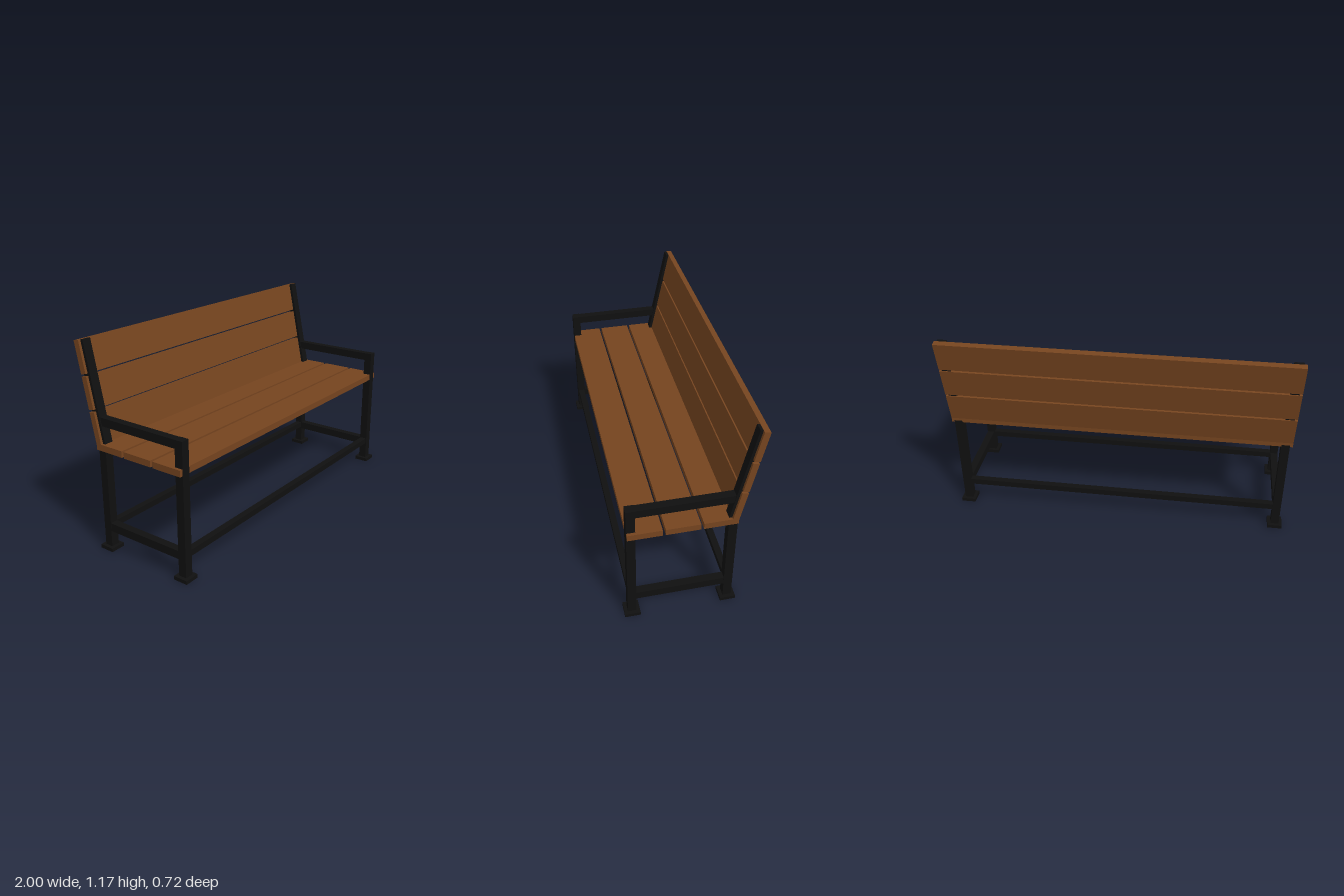
import * as THREE from 'three';

export function createModel() {
  const bench = new THREE.Group();
  bench.name = 'bench';

  const wood = new THREE.MeshStandardMaterial({ color: 0x75441f });
  wood.name = 'brown wood';
  const metal = new THREE.MeshStandardMaterial({ color: 0x101010 });
  metal.name = 'black metal';

  // Box given by its [min, max] extents on each axis
  const box = (parent, name, material, [x0, x1], [y0, y1], [z0, z1]) => {
    const mesh = new THREE.Mesh(new THREE.BoxGeometry(x1 - x0, y1 - y0, z1 - z0), material);
    mesh.position.set((x0 + x1) / 2, (y0 + y1) / 2, (z0 + z1) / 2);
    mesh.name = name;
    parent.add(mesh);
  };
  const around = (centre, size) => [centre - size / 2, centre + size / 2];

  const legX = 0.957, frontZ = 0.317, backZ = -0.217, post = 0.048;

  // Leaning backrest: origin on the top front edge of its supports
  const backrest = new THREE.Group();
  backrest.name = 'backrest';
  backrest.position.set(0, 1.172, -0.307);
  backrest.rotation.x = -THREE.MathUtils.degToRad(12);
  bench.add(backrest);

  // Side frames
  for (const side of [-1, 1]) {
    const frame = new THREE.Group();
    frame.name = side > 0 ? 'leftFrame' : 'rightFrame';
    bench.add(frame);
    const x = side * legX;
    box(frame, 'frontLeg', metal, around(x, post), [0, 0.77], around(frontZ, post));
    box(frame, 'backLeg', metal, around(x, post), [0, 0.6], around(backZ, post));
    box(frame, 'armrest', metal, around(x, 0.044), [0.722, 0.769], [-0.245, frontZ]);
    box(frame, 'sideStretcher', metal, around(x, 0.044), [0.115, 0.162], [backZ, frontZ]);
    for (const z of [frontZ, backZ]) {
      box(frame, 'footPlate', metal, around(x, 0.086), [0, 0.021], around(z, 0.086));
    }
    box(backrest, 'backSupport', metal, around(x, 0.052), [-0.558, -0.001], [-0.045, 0]);
  }

  // Long stretchers
  for (const [name, z] of [['frontStretcher', frontZ], ['backStretcher', backZ]]) {
    box(bench, name, metal, [-legX, legX], [0.125, 0.161], around(z, 0.037));
  }

  // Three seat slats and three back slats
  for (let i = 0; i < 3; i++) {
    const z = -0.24 + i * 0.198;
    box(bench, 'seatSlat', wood, [-0.998, 0.998], [0.59, 0.626], [z, z + 0.183]);
    const top = -i * 0.19;
    box(backrest, 'backSlat', wood, [-0.998, 0.998], [top - 0.178, top], [-0.05, -0.016]);
  }

  return bench;
}
